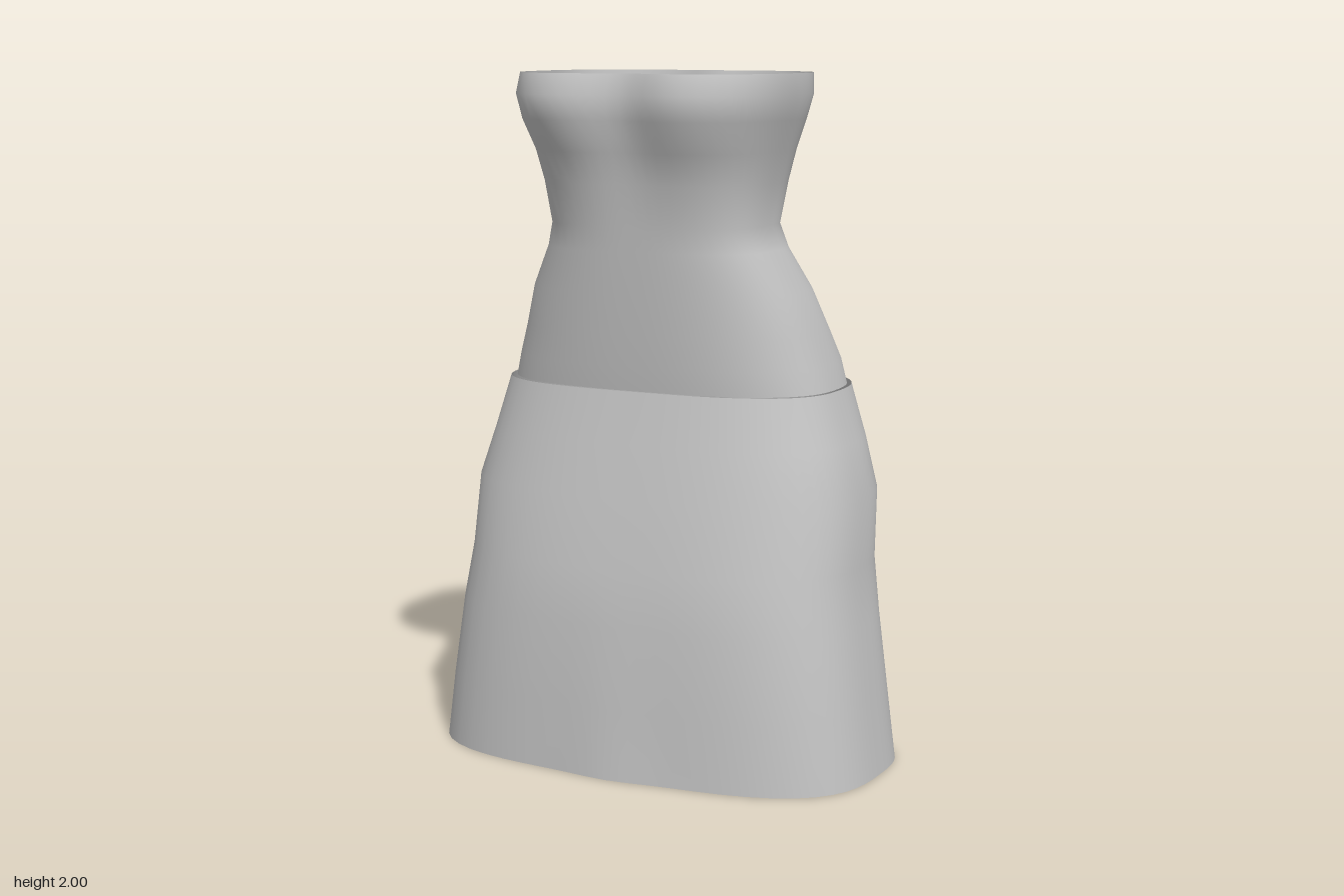
import * as THREE from 'three';

const SEGMENTS = 64;

// Ring: [y, half width, front z, back z, centre z, front crease, back crease, front power, back power]
const bodiceRings = [
  [2.00, 0.41, 0.36, -0.26, 0.01, 0.055, 0.02, 3.0, 2.9],
  [1.94, 0.415, 0.388, -0.245, 0.01, 0.06, 0.02, 3.0, 2.9],
  [1.87, 0.395, 0.382, -0.235, 0.01, 0.06, 0.02, 3.0, 2.9],
  [1.78, 0.365, 0.335, -0.22, 0.01, 0.035, 0.02, 3.0, 2.9],
  [1.69, 0.345, 0.30, -0.205, 0.02, 0.015, 0.02, 3.0, 2.9],
  [1.57, 0.325, 0.277, -0.188, 0.03, 0.00, 0.02, 3.0, 2.9],
  [1.50, 0.35, 0.272, -0.205, 0.02, 0.00, 0.02, 2.8, 2.8],
  [1.38, 0.415, 0.265, -0.275, 0.00, 0.00, 0.02, 2.6, 2.6],
  [1.26, 0.455, 0.255, -0.34, -0.03, 0.00, 0.02, 2.6, 2.5],
  [1.17, 0.485, 0.248, -0.385, -0.04, 0.00, 0.035, 2.6, 2.5],
  [1.10, 0.503, 0.24, -0.392, -0.04, 0.00, 0.05, 2.6, 2.5],
];
const skirtRings = [
  [1.10, 0.515, 0.25, -0.41, -0.04, 0.00, 0.025, 2.8, 2.5],
  [0.95, 0.56, 0.285, -0.43, -0.04, 0.00, 0.04, 2.8, 2.5],
  [0.80, 0.605, 0.322, -0.402, -0.04, 0.00, 0.025, 2.9, 2.5],
  [0.60, 0.608, 0.365, -0.362, -0.02, 0.00, 0.01, 3.0, 2.6],
  [0.44, 0.63, 0.388, -0.332, -0.01, -0.005, 0.00, 3.1, 2.7],
  [0.20, 0.66, 0.40, -0.343, 0.00, -0.01, 0.00, 3.2, 2.8],
  [0.00, 0.685, 0.41, -0.353, 0.00, -0.02, 0.00, 3.2, 2.8],
];

// Rounded-box outline whose front and back can fold in along the middle
function ringPoint([y, w, front, back, mid, frontCrease, backCrease, frontPow, backPow], angle) {
  const c = Math.cos(angle), s = Math.sin(angle);
  const isFront = s >= 0;
  const n = isFront ? frontPow : backPow;
  const r = Math.pow(Math.abs(c) ** n + Math.abs(s) ** n, -1 / n);
  const x = w * r * c;
  const depth = isFront ? front - mid : mid - back;
  const fold = isFront
    ? frontCrease * Math.exp(-((x / 0.13) ** 2))
    : backCrease * Math.exp(-((x / 0.075) ** 2));
  const z = mid + r * s * depth - (isFront ? fold : -fold);
  return [x, y, z];
}

// Open tube of cloth through the rings, listed from top to bottom
function clothTube(name, rings, material) {
  const positions = [], index = [];
  for (const ring of rings) {
    for (let i = 0; i < SEGMENTS; i++) {
      positions.push(...ringPoint(ring, (i / SEGMENTS) * Math.PI * 2));
    }
  }
  for (let j = 0; j < rings.length - 1; j++) {
    for (let i = 0; i < SEGMENTS; i++) {
      const k = (i + 1) % SEGMENTS;
      const a = j * SEGMENTS + i, b = j * SEGMENTS + k;
      const c = a + SEGMENTS, d = b + SEGMENTS;
      index.push(a, b, c, b, d, c);
    }
  }
  const geometry = new THREE.BufferGeometry();
  geometry.setAttribute('position', new THREE.Float32BufferAttribute(positions, 3));
  geometry.setIndex(index);
  geometry.computeVertexNormals();
  const mesh = new THREE.Mesh(geometry, material);
  mesh.name = name;
  return mesh;
}

export function createModel() {
  const cloth = new THREE.MeshStandardMaterial({ color: 0xc4c4c4, side: THREE.DoubleSide });
  cloth.name = 'grey cloth';

  const dress = new THREE.Group();
  dress.name = 'dress';
  dress.add(clothTube('bodice', bodiceRings, cloth));
  dress.add(clothTube('skirt', skirtRings, cloth));
  return dress;
}
